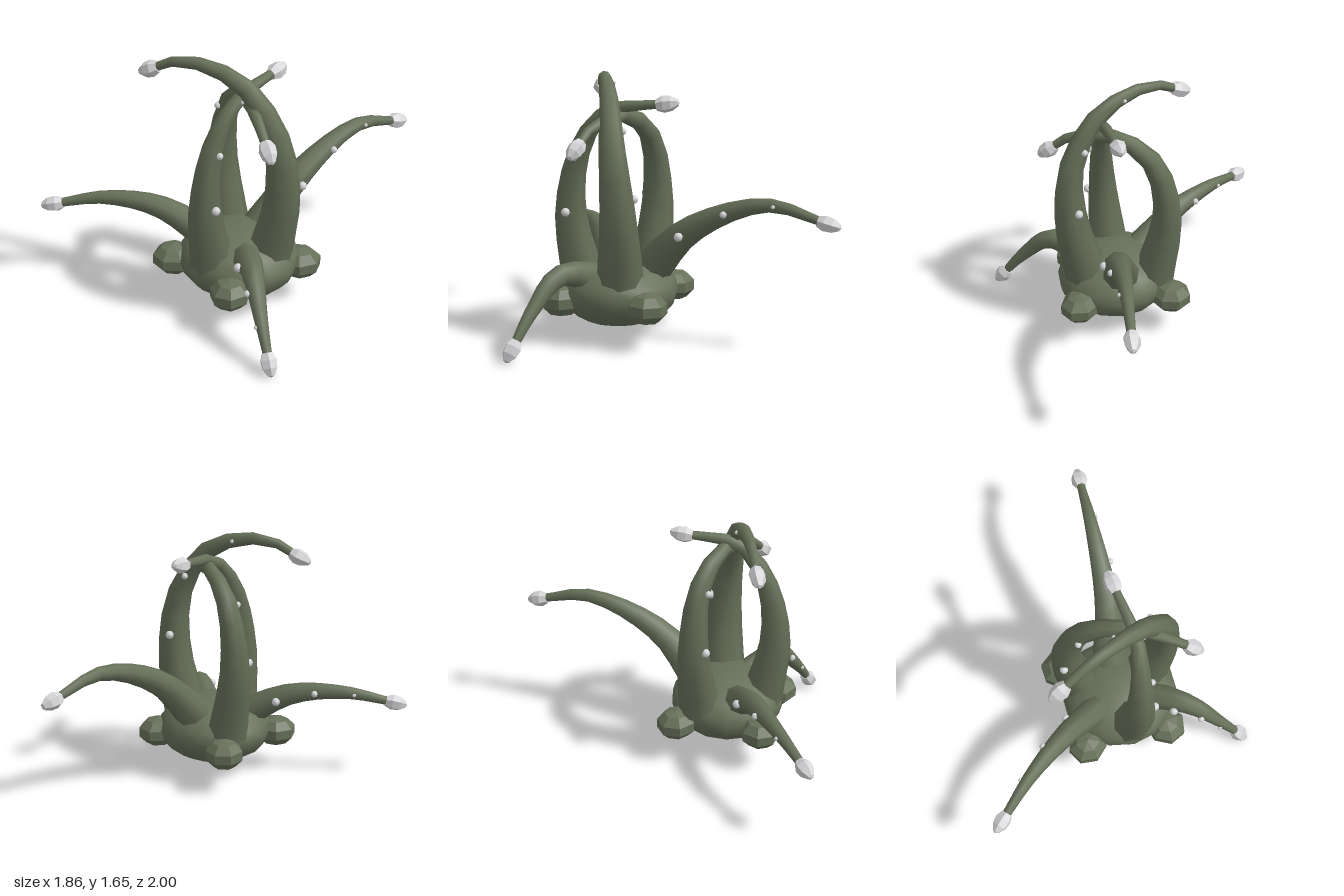
import * as THREE from 'three';

const green = new THREE.MeshStandardMaterial({ color: 0x667059 });
green.name = 'mossGreen';
const pale = new THREE.MeshStandardMaterial({ color: 0xd6d6d8 });
pale.name = 'paleBone';

const TIP_RADIUS = 0.026;
const STUD_RADII = [0.028, 0.022, 0.013];

// Radius of a tentacle at fraction u of its length
const taper = (base, u) => TIP_RADIUS + (base - TIP_RADIUS) * Math.pow(1 - u, 1.3);

// Unit tube along the curve, with each ring scaled by the taper
function taperedTube(curve, base) {
  const rings = 11, sides = 8;
  const geo = new THREE.TubeGeometry(curve, rings, 1, sides);
  const pos = geo.attributes.position, v = new THREE.Vector3();
  for (let i = 0; i <= rings; i++) {
    const center = curve.getPointAt(i / rings);
    for (let j = 0; j <= sides; j++) {
      const n = i * (sides + 1) + j;
      v.fromBufferAttribute(pos, n).sub(center).multiplyScalar(taper(base, i / rings)).add(center);
      pos.setXYZ(n, v.x, v.y, v.z);
    }
  }
  return geo;
}

// Give every triangle its own flat normal
function faceted(geometry) {
  const geo = geometry.toNonIndexed();
  geo.computeVertexNormals();
  return geo;
}

// Blunt claw pointing along +y
const clawProfile = [[0, -0.07], [0.036, -0.068], [0.054, -0.025], [0.048, 0.025], [0.022, 0.068], [0, 0.078]];
const clawGeo = faceted(new THREE.LatheGeometry(clawProfile.map(p => new THREE.Vector2(...p)), 6));
const studGeo = new THREE.SphereGeometry(1, 8, 6);
const footGeo = faceted(new THREE.SphereGeometry(1, 7, 5));

function add(parent, name, geo, mat) {
  const mesh = new THREE.Mesh(geo, mat);
  mesh.name = name;
  parent.add(mesh);
  return mesh;
}

// One arm with its claw at the end and a row of studs along one side
function tentacle(name, base, ...points) {
  const group = new THREE.Group();
  group.name = name;
  const curve = new THREE.CatmullRomCurve3(points.map(p => new THREE.Vector3(...p)));
  add(group, 'arm', taperedTube(curve, base), green);

  const claw = add(group, 'claw', clawGeo, pale);
  claw.position.copy(curve.getPointAt(1));
  claw.quaternion.setFromUnitVectors(new THREE.Vector3(0, 1, 0), curve.getTangentAt(1));

  const reach = curve.getPointAt(1).sub(curve.getPointAt(0));
  STUD_RADII.forEach((radius, i) => {
    const u = 0.3 + 0.225 * i;
    const side = new THREE.Vector3(-reach.z, 0, reach.x).projectOnPlane(curve.getTangentAt(u)).normalize();
    const stud = add(group, 'stud', studGeo, pale);
    stud.position.copy(curve.getPointAt(u)).addScaledVector(side, taper(base, u));
    stud.scale.setScalar(radius);
  });
  return group;
}

export function createModel() {
  const model = new THREE.Group();
  model.name = 'tentacledCreature';

  // Squashed round body
  const body = add(model, 'body', new THREE.SphereGeometry(1, 14, 10), green);
  body.position.set(0.265, 0.295, 0.36);
  body.scale.set(0.385, 0.222, 0.375);

  // Four stubby feet around the body, turned outward
  for (const [x, z] of [[-0.09, 0.57], [0.43, 0.7], [0.59, 0.16], [0, 0.03]]) {
    const foot = add(model, 'foot', footGeo, green);
    foot.position.set(x, 0.26, z);
    foot.scale.set(0.13, 0.1, 0.14);
    foot.rotation.y = Math.atan2(x - body.position.x, z - body.position.z);
  }

  // Three tall arms curling over the top
  model.add(tentacle('leftTentacle', 0.15, [0.47, 0.36, 0.33], [0.565, 0.82, 0.335],
    [0.53, 1.22, 0.37], [0.32, 1.52, 0.41], [-0.05, 1.605, 0.48], [-0.28, 1.505, 0.52]));
  model.add(tentacle('frontTentacle', 0.14, [0.22, 0.34, 0.59], [0.225, 0.8, 0.665],
    [0.25, 1.2, 0.59], [0.3, 1.425, 0.42], [0.335, 1.48, 0.05]));
  model.add(tentacle('rearRightTentacle', 0.14, [0.06, 0.34, 0.18], [-0.02, 0.85, 0.135],
    [0.065, 1.24, 0.175], [0.27, 1.4, 0.31], [0.5, 1.345, 0.5], [0.62, 1.235, 0.58]));

  // Three low arms spreading outward
  model.add(tentacle('rightTentacle', 0.11, [0.14, 0.36, 0.4], [-0.22, 0.56, 0.52],
    [-0.55, 0.59, 0.66], [-0.855, 0.52, 0.825]));
  model.add(tentacle('frontLeftTentacle', 0.105, [0.36, 0.38, 0.45], [0.59, 0.455, 0.69],
    [0.75, 0.27, 0.84], [0.88, 0.065, 0.945]));
  model.add(tentacle('backTentacle', 0.13, [0.28, 0.38, 0.2], [0.41, 0.71, -0.09],
    [0.545, 0.9, -0.56], [0.655, 0.81, -0.93]));
  return model;
}
